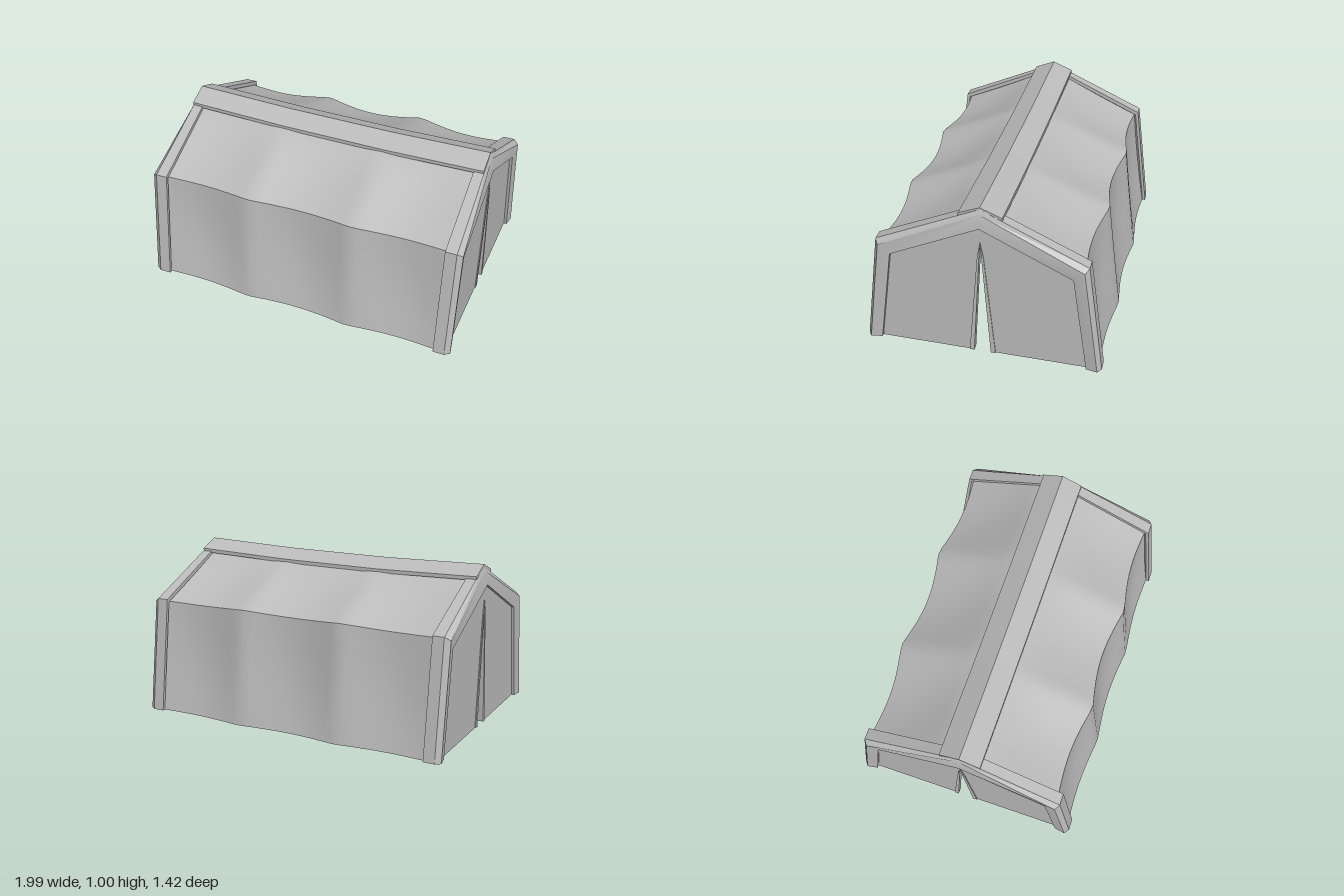
import * as THREE from 'three';
import { toCreasedNormals } from 'three/addons/utils/BufferGeometryUtils.js';

const canvas = new THREE.MeshStandardMaterial({ color: 0xbcbcbc, side: THREE.DoubleSide });
canvas.name = 'greyCanvas';

// Skin a list of equal-length rows of [x, y, z]; optionally close the section and cap the ends
function loft(rows, closed, crease) {
  const n = rows[0].length, idx = [];
  const last = closed ? n : n - 1;
  for (let i = 0; i < rows.length - 1; i++) {
    for (let j = 0; j < last; j++) {
      const k = (j + 1) % n;
      const a = i * n + j, b = i * n + k, c = a + n, d = b + n;
      idx.push(a, b, c, b, d, c);
    }
  }
  if (closed) {
    const e = (rows.length - 1) * n;
    for (let j = 1; j < n - 1; j++) idx.push(0, j + 1, j, e, e + j, e + j + 1);
  }
  const g = new THREE.BufferGeometry();
  g.setAttribute('position', new THREE.Float32BufferAttribute(rows.flat(2), 3));
  g.setIndex(idx);
  return toCreasedNormals(g, crease);
}

// Extrude a (z, y) outline along x, from x0 to x1
function extrudeX(points, x0, x1, steps = 1) {
  const shape = new THREE.Shape(points.map(([z, y]) => new THREE.Vector2(z, y)));
  const g = new THREE.ExtrudeGeometry(shape, { depth: x1 - x0, steps, bevelEnabled: false });
  return g.rotateY(-Math.PI / 2).translate(x1, 0, 0);
}

function addMesh(parent, name, geometry) {
  const mesh = new THREE.Mesh(geometry, canvas);
  mesh.name = name;
  parent.add(mesh);
  return mesh;
}

const mix = THREE.MathUtils.lerp;

// Height and half-width of the draped cloth: tight over the poles, slack between them
function clothPoint(x, v) {
  const sag = Math.abs(Math.cos(1.5 * Math.PI * x));
  const end = Math.pow(Math.abs(x), 6) * 0.025;
  const base = [0.71 - 0.028 * sag - end * 0.6, 0];
  const eave = [0.622 - 0.045 * sag - end, 0.705 - 0.02 * sag - end * 0.5];
  const top = [0.115, 0.918 - 0.012 * sag];
  if (v <= 1) {
    const belly = 0.018 * sag * Math.sin(Math.PI * v);
    return [mix(base[0], eave[0], v) - belly, mix(base[1], eave[1], v)];
  }
  if (v <= 2) {
    const t = v - 1, dip = 0.016 * sag * Math.sin(Math.PI * t);
    return [mix(eave[0], top[0], t), mix(eave[1], top[1], t) - dip];
  }
  return [0, 0.945];
}

function clothGeometry() {
  const half = [];
  for (let i = 0; i <= 12; i++) half.push(i / 6);
  const path = [...half.map(v => [v, 1]), [3, 1], ...half.slice().reverse().map(v => [v, -1])];
  const rows = path.map(([v, side]) => {
    const row = [];
    for (let j = 0; j <= 36; j++) {
      const x = mix(-0.955, 0.955, j / 36);
      const [z, y] = clothPoint(x, v);
      row.push([x, y, z * side]);
    }
    return row;
  });
  return loft(rows, false, 0.9);
}

// Gabled end frame with a chamfered outer edge
function archGeometry() {
  const outer = [[0.71, 0], [0.615, 0.705], [0, 0.985], [-0.615, 0.705], [-0.71, 0]];
  const inner = [[0.62, 0], [0.53, 0.622], [0, 0.875], [-0.53, 0.622], [-0.62, 0]];
  const rows = outer.map(([oz, oy], i) => {
    const [iz, iy] = inner[i];
    const at = (x, t) => [x, mix(oy, iy, t), mix(oz, iz, t)];
    const ridge = i === 2;
    return [
      at(0.895, 0), at(ridge ? 0.955 : 0.965, 0),
      at(ridge ? 0.967 : 0.997, 0.25), at(0.985, 1),
      at(0.95, 1), at(0.895, 0.2),
    ];
  });
  return loft(rows, true, 0.4);
}

// One end wall: arch, two door flaps and their thick hems
function createEnd() {
  const end = new THREE.Group();
  addMesh(end, 'endArch', archGeometry());
  for (const s of [1, -1]) {
    const side = pts => pts.map(([z, y]) => [z * s, y]);
    const flap = side([[0.052, 0], [0.64, 0], [0.55, 0.63], [0, 0.89], [0, 0.77]]);
    const hem = side([[0.05, 0], [0.078, 0], [0.018, 0.68], [0, 0.78]]);
    addMesh(end, 'doorFlap', extrudeX(flap, 0.955, 0.967));
    addMesh(end, 'doorHem', extrudeX(hem, 0.935, 0.973));
  }
  return end;
}

// Ridge strip that dips slightly along the middle
function ridgeGeometry() {
  const outline = [[0.125, 0.945], [0, 0.997], [-0.125, 0.945], [-0.125, 0.922], [0, 0.968], [0.125, 0.922]];
  const g = extrudeX(outline, -0.96, 0.955, 12);
  const p = g.attributes.position;
  for (let i = 0; i < p.count; i++) {
    const dip = Math.min(1, (0.96 - Math.abs(p.getX(i))) / 0.63);
    p.setY(i, p.getY(i) - 0.016 * dip);
  }
  g.computeVertexNormals();
  return g;
}

export function createModel() {
  const tent = new THREE.Group();
  tent.name = 'tent';
  addMesh(tent, 'wallAndRoofCloth', clothGeometry());
  addMesh(tent, 'ridgeCap', ridgeGeometry());
  for (const [name, angle] of [['leftEnd', 0], ['rightEnd', Math.PI]]) {
    const end = createEnd();
    end.name = name;
    end.rotation.y = angle;
    tent.add(end);
  }
  return tent;
}
